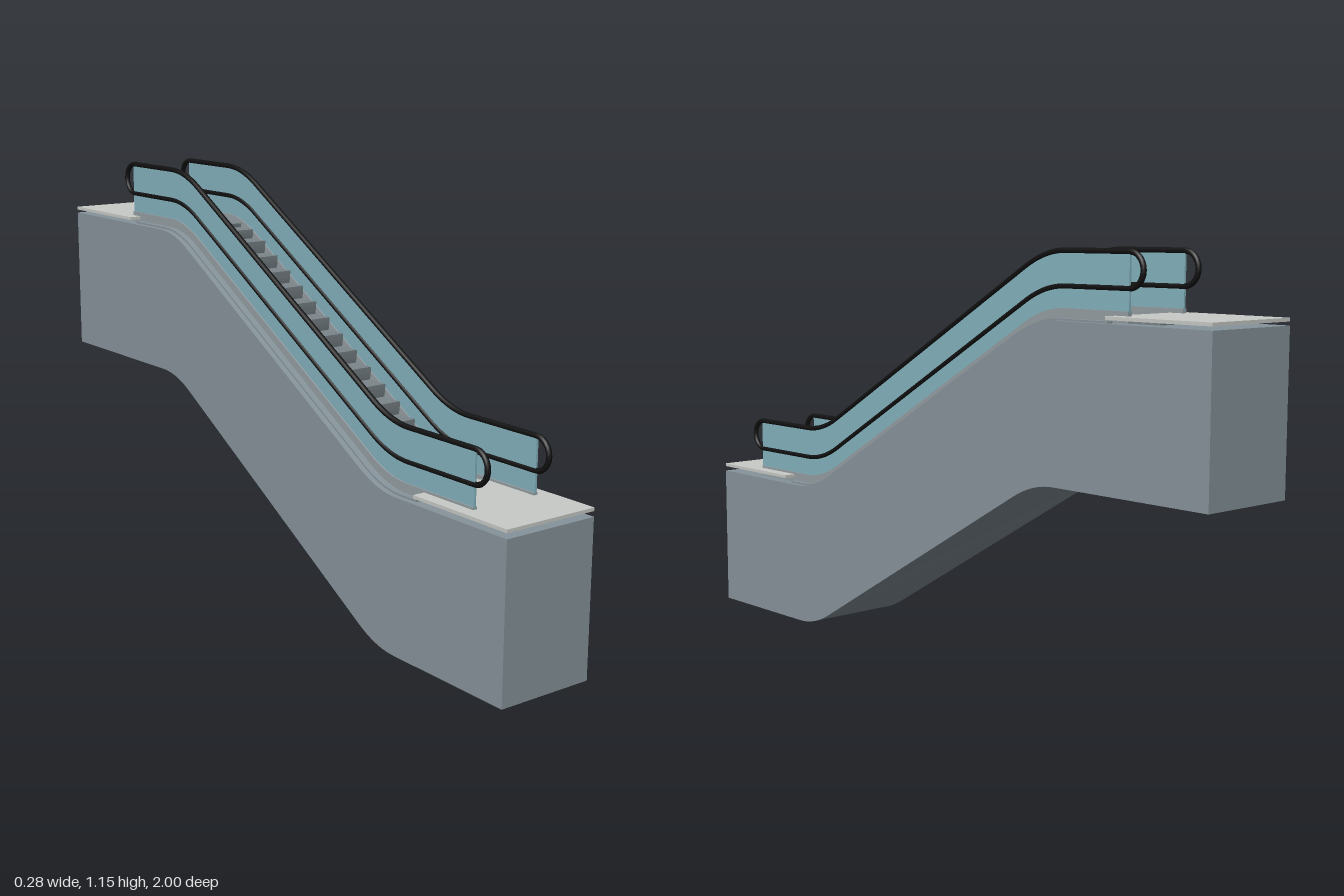
import * as THREE from 'three';
import { toCreasedNormals } from 'three/addons/utils/BufferGeometryUtils.js';

const RISE = 0.55, LOW = 0.53, HIGH = -0.422, BEND = 0.072;
const SLOPE = RISE / (LOW - HIGH);

// Height of the escalator line at z: flat, eased bend, incline, eased bend, flat.
function lineHeight(z) {
  const ramp = (d) => {
    if (d <= -BEND) return 0;
    if (d >= BEND) return d * SLOPE;
    return SLOPE * (d + BEND) ** 2 / (4 * BEND);
  };
  return ramp(LOW - z) - ramp(HIGH - z);
}

// Points along the line from z0 to z1, dense only in the bends.
function linePoints(z0, z1, offset) {
  const zs = [z0];
  for (const c of [LOW, HIGH]) {
    for (let i = 0; i <= 10; i++) zs.push(c + BEND - (2 * BEND * i) / 10);
  }
  zs.push(z1);
  return zs.map((z) => new THREE.Vector2(z, lineHeight(z) + offset));
}

// Extrudes a (z, y) outline across x, centred on x = 0.
function across(shape, width) {
  const g = new THREE.ExtrudeGeometry(shape, { depth: width, bevelEnabled: false, curveSegments: 6 });
  g.translate(0, 0, -width / 2);
  g.rotateY(-Math.PI / 2);
  return toCreasedNormals(g, 0.4);
}

// A band following the line between two vertical offsets.
function band(z0, z1, bottom, top, width) {
  const pts = [...linePoints(z0, z1, bottom), ...linePoints(z0, z1, top).reverse()];
  return across(new THREE.Shape(pts), width);
}

// Closed handrail loop: top run, upper return, lower run, lower return.
function handrailGeometry() {
  const z0 = 0.842, z1 = -0.708, mid = 0.549, r = 0.044;
  const pts = [];
  const run = (from, to, offset) => {
    for (let i = 0; i <= 70; i++) {
      const z = from + ((to - from) * i) / 70;
      pts.push(new THREE.Vector3(0, lineHeight(z) + offset, z));
    }
  };
  const turn = (z, dir) => {
    for (let i = 1; i < 10; i++) {
      const a = (Math.PI * i) / 10;
      pts.push(new THREE.Vector3(0, lineHeight(z) + mid - dir * Math.cos(a) * r, z + dir * Math.sin(a) * r));
    }
  };
  run(z0, z1, mid + r);
  turn(z1, -1);
  run(z1, z0, mid - r);
  turn(z0, 1);
  const curve = new THREE.CatmullRomCurve3(pts, true);
  return new THREE.TubeGeometry(curve, 320, 0.0075, 8, true);
}

export function createModel() {
  const model = new THREE.Group();
  const mat = (name, color) => new THREE.MeshStandardMaterial({ name, color });
  const cladding = mat('cladding grey', 0x87949b);
  const stepGrey = mat('step grey', 0x7c868b);
  const metal = mat('landing metal', 0xc8cbc7);
  const skirtGrey = mat('skirt grey', 0x969fa3);
  const glass = mat('blue glass', 0x84b2be);
  const rubber = mat('black rubber', 0x111111);

  const add = (name, geometry, material, x = 0, y = 0, z = 0) => {
    const m = new THREE.Mesh(geometry, material);
    m.name = name;
    m.position.set(x, y, z);
    model.add(m);
    return m;
  };

  // Solid truss body
  add('truss', band(1, -1, 0, 0.42, 0.284), cladding);

  // Steps with bowed risers
  const depth = 0.0625, count = 21;
  for (let i = 0; i < count; i++) {
    const zf = 0.645 - i * depth, zb = zf - depth;
    const y = lineHeight(zb) + 0.429;
    const base = Math.min(lineHeight(zf) + 0.415, y - 0.008);
    const s = new THREE.Shape();
    s.moveTo(zb - 0.004, y);
    s.lineTo(zb - 0.004, base);
    s.lineTo(zf - 0.008, base);
    s.quadraticCurveTo(zf - 0.001, (base + y) / 2, zf, y);
    s.closePath();
    add('step' + (i + 1), across(s, 0.186), stepGrey);
  }

  // Balustrades on both sides
  const glassGeo = band(0.845, -0.71, 0.445, 0.592, 0.006);
  const skirtGeo = band(0.845, -0.71, 0.418, 0.45, 0.013);
  const deckGeo = band(0.66, -0.66, 0.415, 0.425, 0.02);
  const railGeo = handrailGeometry();
  for (const [side, x] of [['left', 0.1], ['right', -0.1]]) {
    add(side + 'Glass', glassGeo, glass, x);
    add(side + 'Skirt', skirtGeo, skirtGrey, x);
    add(side + 'Deck', deckGeo, cladding, x * 1.155);
    add(side + 'Handrail', railGeo, rubber, x);
  }

  // Landing plates with comb teeth
  const plateGeo = new THREE.BoxGeometry(0.284, 0.009, 0.332);
  const toothGeo = new THREE.BoxGeometry(0.0055, 0.006, 0.028);
  for (const [name, sign, y] of [['lower', 1, 0.439], ['upper', -1, 0.984]]) {
    add(name + 'LandingPlate', plateGeo, metal, 0, y, sign * 0.834);
    for (let i = 0; i < 16; i++) {
      add(name + 'CombTooth', toothGeo, metal, -0.0825 + i * 0.011, y - 0.001, sign * 0.655);
    }
  }

  // Support below the upper plate
  add('upperPlateSupport', new THREE.BoxGeometry(0.186, 0.01, 0.14), stepGrey, 0, 0.974, -0.73);

  return model;
}
